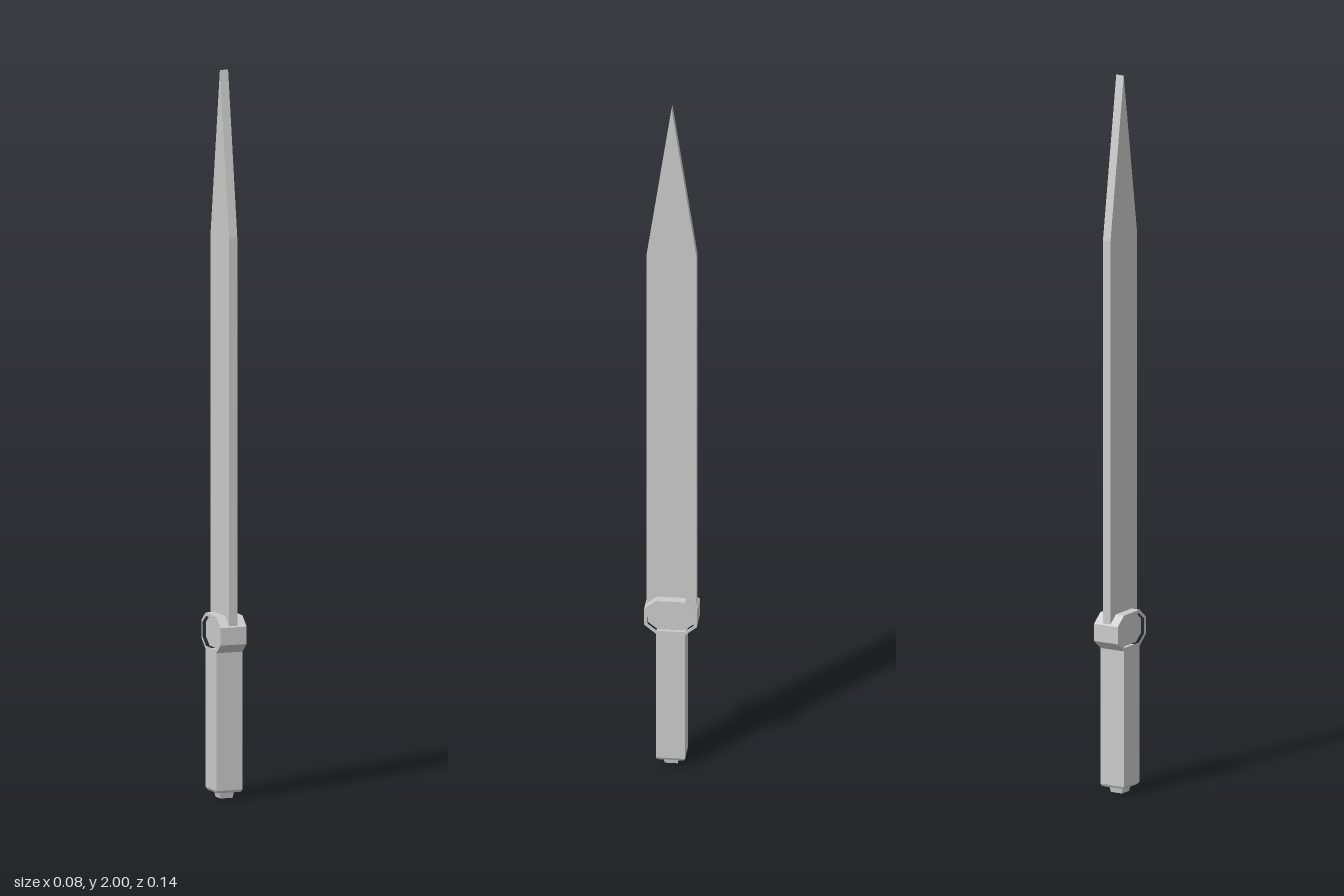
import * as THREE from 'three';

const material = new THREE.MeshStandardMaterial({ color: 0xcccccc, flatShading: true });

// Extrudes an outline of [z, y] points along x, centred on x = 0
function slab(name, points, thickness, hole) {
  const toVectors = (list) => list.map(([z, y]) => new THREE.Vector2(-z, y));
  const shape = new THREE.Shape(toVectors(points));
  if (hole) shape.holes.push(new THREE.Path(toVectors(hole)));
  const geometry = new THREE.ExtrudeGeometry(shape, { depth: thickness, bevelEnabled: false });
  geometry.translate(0, 0, -thickness / 2);
  geometry.rotateY(Math.PI / 2);
  const mesh = new THREE.Mesh(geometry, material);
  mesh.name = name;
  return mesh;
}

// Four-sided block whose bottom may be narrower than its top
function taperedBlock(name, y0, y1, topX, topZ, bottomX, bottomZ) {
  const geometry = new THREE.BoxGeometry(2, y1 - y0, 2);
  const p = geometry.attributes.position;
  for (let i = 0; i < p.count; i++) {
    const top = p.getY(i) > 0;
    p.setX(i, p.getX(i) * (top ? topX : bottomX));
    p.setZ(i, p.getZ(i) * (top ? topZ : bottomZ));
  }
  geometry.computeVertexNormals();
  const mesh = new THREE.Mesh(geometry, material);
  mesh.name = name;
  mesh.position.y = (y0 + y1) / 2;
  return mesh;
}

// Octagon in the z-y plane with cut corners
function octagon(halfZ, halfY, flatZ, flatY, centreY) {
  return [
    [halfZ, -flatY], [halfZ, flatY], [flatZ, halfY], [-flatZ, halfY],
    [-halfZ, flatY], [-halfZ, -flatY], [-flatZ, -halfY], [flatZ, -halfY],
  ].map(([z, y]) => [z, y + centreY]);
}

export function createModel() {
  const group = new THREE.Group();
  group.name = 'sword';

  // Flat blade with a long pointed tip
  group.add(slab('blade', [
    [0.068, 0.44], [0.068, 1.55], [0, 2], [-0.068, 1.55], [-0.068, 0.44],
  ], 0.024));

  // Guard: an octagonal rim around a sunken core
  const outer = octagon(0.072, 0.05, 0.04, 0.024, 0.454);
  const inner = octagon(0.063, 0.041, 0.036, 0.02, 0.454);
  group.add(slab('guardRim', outer, 0.076, inner));
  group.add(slab('guardCore', inner, 0.056));

  // Square grip with a small chamfer at its foot
  group.add(taperedBlock('grip', 0.025, 0.405, 0.038, 0.04, 0.038, 0.04));
  group.add(taperedBlock('gripFoot', 0.018, 0.025, 0.038, 0.04, 0.034, 0.036));

  // Small pommel
  group.add(taperedBlock('pommel', 0, 0.018, 0.021, 0.021, 0.018, 0.018));

  return group;
}
